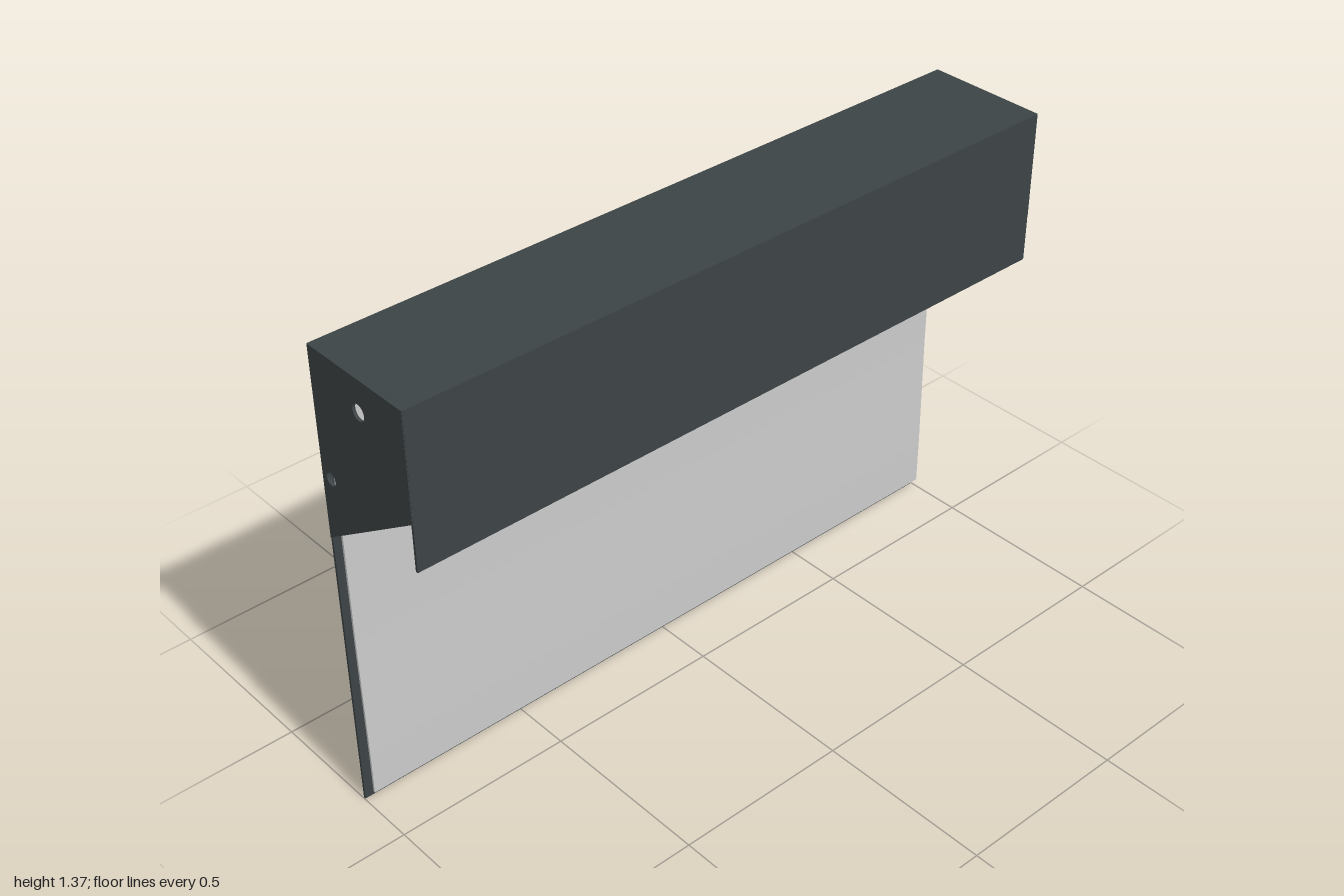
import * as THREE from 'three';

const HALF_DEPTH = 0.175, HEIGHT = 1.365, SHEET = 0.007;

export function createModel() {
  const group = new THREE.Group();
  const metal = new THREE.MeshStandardMaterial({ color: 0x3d4446 });
  const grey = new THREE.MeshStandardMaterial({ color: 0xcccccc });

  const add = (name, geometry, material) => {
    const mesh = new THREE.Mesh(geometry, material);
    mesh.name = name;
    group.add(mesh);
  };

  const box = (name, w, h, d, y, z) =>
    add(name, new THREE.BoxGeometry(w, h, d).translate(0, y, z), metal);

  // Extrude a (z, y) side profile along x, from x0 to x1
  const extrudeAcross = (points, x0, x1, holes = []) => {
    const shape = new THREE.Shape(points.map(([z, y]) => new THREE.Vector2(z, y)));
    for (const [z, y, r] of holes) {
      shape.holes.push(new THREE.Path().absarc(z, y, r, 0, Math.PI * 2, true));
    }
    return new THREE.ExtrudeGeometry(shape, { depth: x1 - x0, bevelEnabled: false, curveSegments: 16 })
      .rotateY(-Math.PI / 2)
      .translate(x1, 0, 0);
  };

  // Folded cover: tall back, top and short front lip
  const edge = HALF_DEPTH - SHEET / 2;
  box('backPanel', 1.996, HEIGHT, SHEET, HEIGHT / 2, -edge);
  box('topPanel', 1.996, SHEET, HALF_DEPTH * 2, HEIGHT - SHEET / 2, 0);
  box('frontPanel', 1.996, 0.43, SHEET, HEIGHT - 0.215, edge);

  // Slanted end plates, each with two round holes
  const plate = [[0.174, HEIGHT], [-0.174, HEIGHT], [-0.174, 0.833], [0.174, 1.068]];
  const holes = [[0.006, 1.275, 0.022], [-0.14, 1.018, 0.018]];
  add('leftEndPlate', extrudeAcross(plate, 0.992, 1, holes), metal);
  add('rightEndPlate', extrudeAcross(plate, -1, -0.992, holes), metal);

  // Thin liner hung inside the cover, bowing slightly forward at the bottom
  const liner = [
    [-0.147, 0.032], [-0.147, 0.17], [-0.152, 0.52], [-0.153, 1.34], [0.163, 1.34], [0.163, 0.945],
    [0.156, 0.945], [0.156, 1.333], [-0.146, 1.333], [-0.146, 0.52], [-0.141, 0.17], [-0.141, 0.032],
  ];
  add('liner', extrudeAcross(liner, -0.985, 0.991), grey);

  return group;
}
